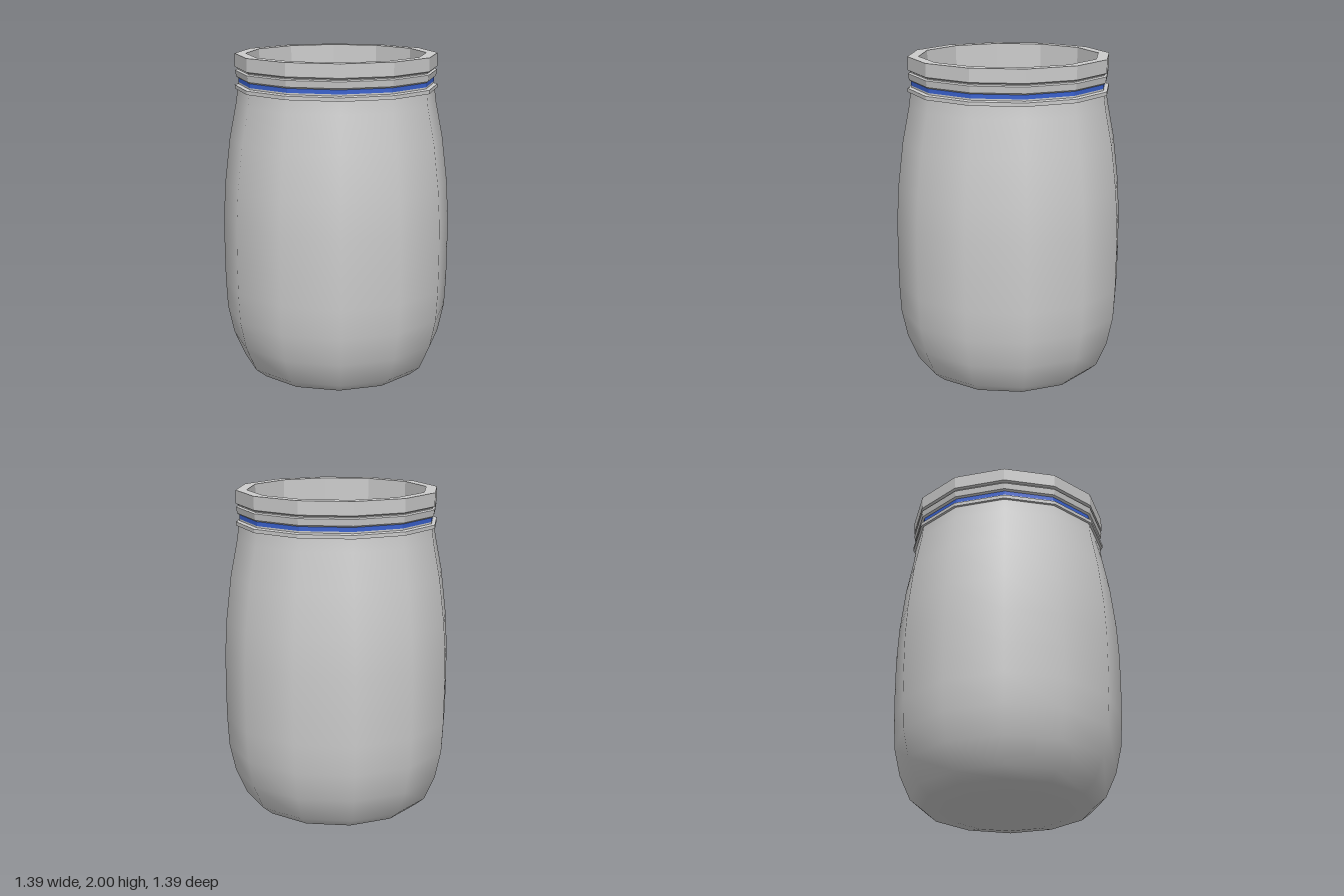
import * as THREE from 'three';

const SIDES = 12;
const grey = new THREE.MeshStandardMaterial({ color: 0xcccccc });
const greyFlat = new THREE.MeshStandardMaterial({ color: 0xcccccc, flatShading: true });
const blueFlat = new THREE.MeshStandardMaterial({ color: 0x3a62d0, flatShading: true });

// Twelve-sided turned surface; a profile running upwards faces outwards
function turned(name, profile, material) {
  const points = profile.map(([r, y]) => new THREE.Vector2(r, y));
  const mesh = new THREE.Mesh(new THREE.LatheGeometry(points, SIDES), material);
  mesh.name = name;
  return mesh;
}

export function createModel() {
  const jar = new THREE.Group();
  jar.name = 'jar';

  // Jar wall and rounded base
  jar.add(turned('outerBody', [
    [0, 0], [0.2, 0.005], [0.36, 0.013], [0.51, 0.045], [0.577, 0.1], [0.643, 0.25],
    [0.68, 0.42], [0.69, 0.6], [0.693, 0.8], [0.692, 1.01], [0.68, 1.22],
    [0.648, 1.49], [0.605, 1.71], [0.595, 1.8],
  ], grey));

  // Hollow inside, narrowing to the floor
  jar.add(turned('innerBody', [
    [0.53, 1.8], [0.545, 1.71], [0.588, 1.49], [0.62, 1.22], [0.632, 1.01],
    [0.632, 0.8], [0.63, 0.6], [0.62, 0.42], [0.583, 0.26], [0.52, 0.14], [0.44, 0.09],
  ], grey));
  jar.add(turned('innerFloor', [[0.44, 0.09], [0.355, 0.07], [0, 0.06]], grey));

  // Faceted neck: lower flange and the recess holding the stripe
  jar.add(turned('neckFlange', [
    [0.53, 1.79], [0.612, 1.79], [0.612, 1.812], [0.59, 1.818], [0.59, 1.828],
  ], greyFlat));

  // Coloured stripe
  jar.add(turned('neckStripe', [[0.59, 1.828], [0.59, 1.853]], blueFlat));

  // Upper bands, flat rim and the inside of the neck
  jar.add(turned('neckRim', [
    [0.59, 1.853], [0.603, 1.862], [0.608, 1.9], [0.595, 1.906], [0.595, 1.912],
    [0.61, 1.92], [0.61, 2], [0.543, 2], [0.54, 1.8], [0.53, 1.79],
  ], greyFlat));

  return jar;
}
